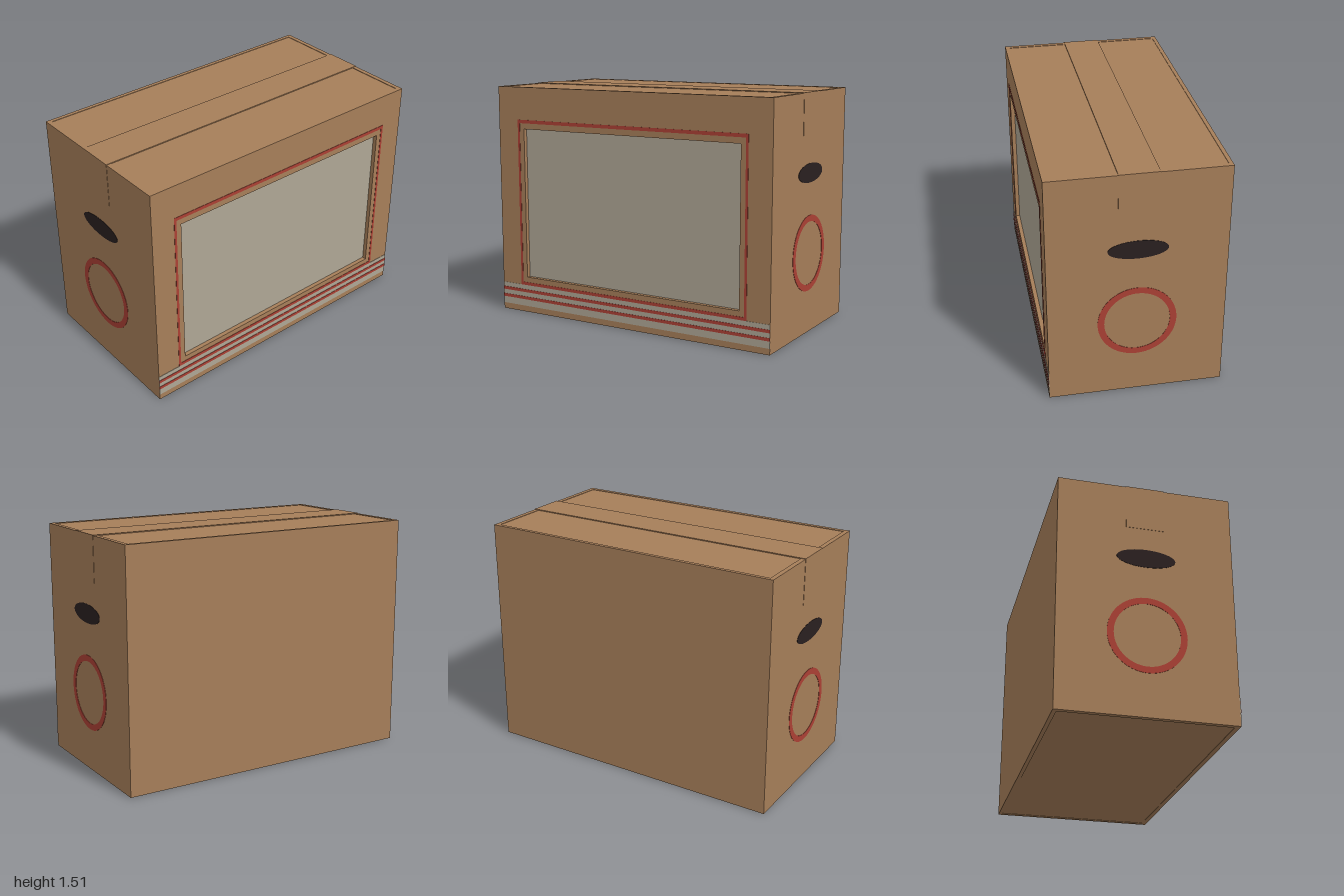
import * as THREE from 'three';

export function createModel() {
  const model = new THREE.Group();
  model.name = 'cardboardTelevision';

  const material = (name, color) => {
    const m = new THREE.MeshStandardMaterial({ color });
    m.name = name;
    return m;
  };
  const cardboard = material('cardboard', 0xa67e59);
  const paper = material('greyPaper', 0xaea695);
  const red = material('redMarker', 0xab4034);
  const dark = material('darkHole', 0x2a2020);

  // Box given by its limits on each axis
  const box = (name, mat, x0, x1, y0, y1, z0, z1, parent = model) => {
    const mesh = new THREE.Mesh(new THREE.BoxGeometry(x1 - x0, y1 - y0, z1 - z0), mat);
    mesh.position.set((x0 + x1) / 2, (y0 + y1) / 2, (z0 + z1) / 2);
    mesh.name = name;
    parent.add(mesh);
    return mesh;
  };

  const H = 1.508, D = 0.54, T = 0.03; // height, half depth, wall thickness
  const inner = 1 - T, back = -0.515, front = 0.51;
  const win = { x: 0.795, y0: 0.24, y1: 1.235 };

  // Box walls
  box('backWall', cardboard, -1, 1, 0, H, -D, back);
  box('floor', cardboard, -inner, inner, 0.003, 0.028, back, front);
  box('topPanel', cardboard, -inner, inner, H - 0.028, H - 0.003, back, front);

  // Front frame around the screen
  box('frontTopRail', cardboard, -inner, inner, win.y1, H, front, D);
  box('frontBottomRail', cardboard, -inner, inner, 0, win.y0, front, D);
  box('screen', paper, -win.x, win.x, win.y0, win.y1, front - 0.005, front + 0.003);

  // Red outline drawn around the screen
  const outline = new THREE.Group();
  outline.name = 'screenOutline';
  model.add(outline);
  const ox = 0.845, oy0 = 0.185, oy1 = 1.295, face = D + 0.002;
  box('outlineTop', red, -ox, ox, oy1 - 0.022, oy1, D - 0.002, face, outline);
  box('outlineBottom', red, -ox, ox, oy0, oy0 + 0.02, D - 0.002, face, outline);

  // Paper band with two red stripes
  box('paperBand', paper, -1, 1, 0.04, oy0, D - 0.002, face);
  for (const y of [0.095, 0.145]) {
    box('bandStripe', red, -1, 1, y - 0.01, y + 0.01, D, face + 0.002);
  }

  // Flat plate from a shape, facing outward on the given side
  const sidePlate = (name, mat, shape, side, y) => {
    const geometry = new THREE.ExtrudeGeometry(shape, { depth: 0.003, bevelEnabled: false, curveSegments: 40 });
    const mesh = new THREE.Mesh(geometry, mat);
    mesh.rotation.y = side * Math.PI / 2;
    mesh.position.set(side * 0.999, y, 0);
    mesh.name = name;
    model.add(mesh);
  };
  const ring = new THREE.Shape().absarc(0, 0, 0.24, 0, Math.PI * 2);
  ring.holes.push(new THREE.Path().absarc(0, 0, 0.2, 0, Math.PI * 2, true));
  const oval = new THREE.Shape().absellipse(0, 0, 0.18, 0.06, 0, Math.PI * 2);

  // Tape over the lid, folded down both sides
  box('lidTape', cardboard, -1, 1, H - 0.004, H + 0.003, -0.12, 0.12);

  // Everything mirrored left and right
  for (const side of [1, -1]) {
    const label = side > 0 ? 'left' : 'right';
    const mirrored = (name, mat, a, b, ...rest) =>
      box(label + name, mat, Math.min(side * a, side * b), Math.max(side * a, side * b), ...rest);
    mirrored('Wall', cardboard, inner, 1, 0, H, back, D);
    mirrored('FrontPost', cardboard, win.x, inner, win.y0, win.y1, front, D);
    mirrored('Outline', red, ox - 0.016, ox, oy0 + 0.02, oy1 - 0.022, D - 0.002, face, outline);
    mirrored('TapeEnd', cardboard, 0.999, 1.002, 1.22, H + 0.003, -0.12, 0.12);
    sidePlate(label + 'HandleHole', dark, oval, side, 1.015);
    sidePlate(label + 'Ring', red, ring, side, 0.51);
  }

  return model;
}
